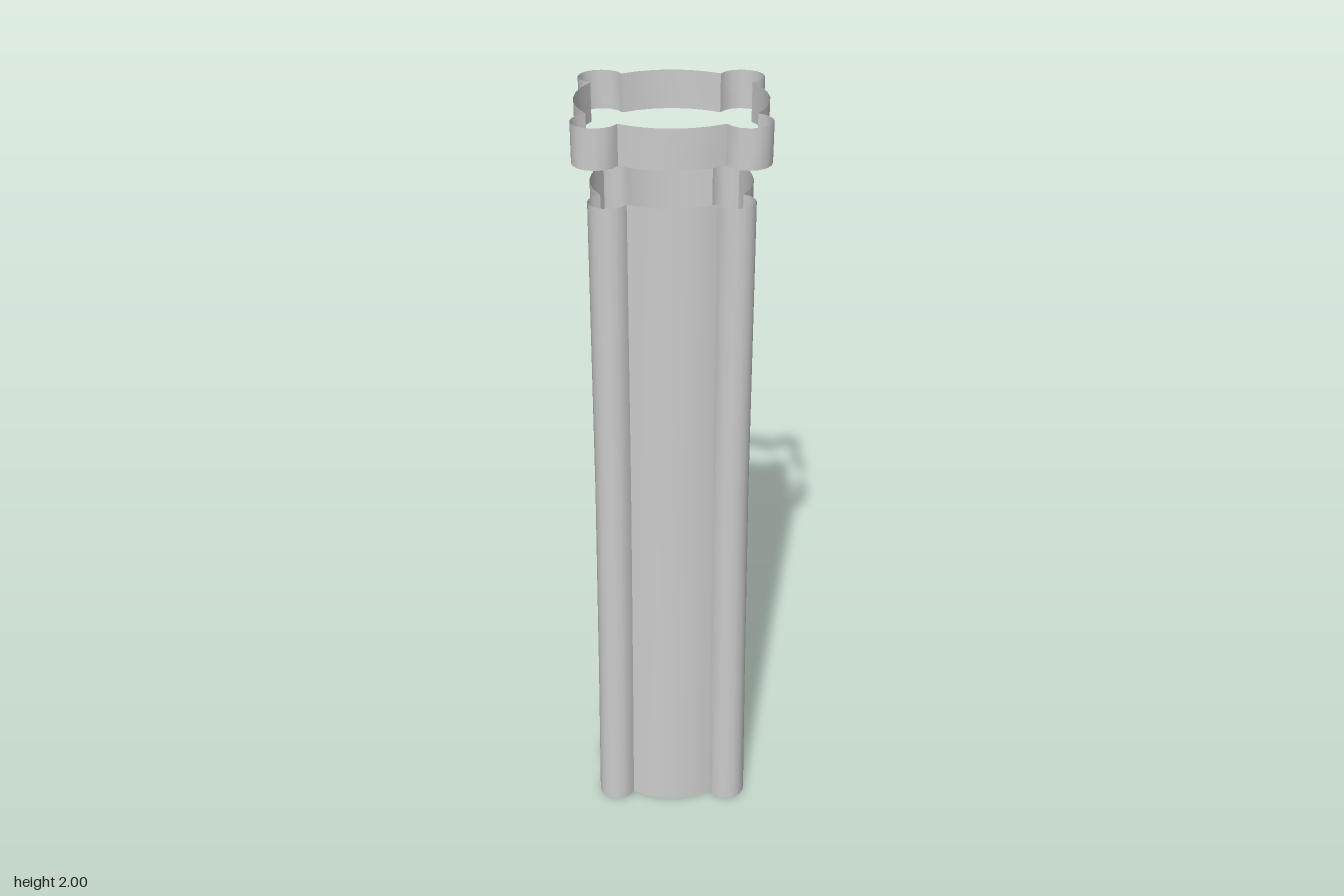
import * as THREE from 'three';

// Quatrefoil cross-section: a round wall with a lobe on each axis
const R = 0.226, C = 0.24, r = 0.055;
const cornerZ = (R * R + C * C - r * r) / (2 * C);
const cornerX = Math.sqrt(R * R - cornerZ * cornerZ);

const material = new THREE.MeshStandardMaterial({ color: 0xcccccc, side: THREE.DoubleSide });

// Points of an arc around (0, z), angles measured from +z towards +x
function arc(z, radius, from, to, segments) {
  return Array.from({ length: segments + 1 }, (_, i) => {
    const t = from + ((to - from) * i) / segments;
    return [radius * Math.sin(t), z + radius * Math.cos(t)];
  });
}

const lobeEnd = Math.atan2(cornerX, cornerZ - C);
const wallStart = Math.atan2(cornerX, cornerZ);
const lobeArc = arc(C, r, -lobeEnd, lobeEnd, 10);
const wallArc = arc(0, R, wallStart, Math.PI / 2 - wallStart, 6);

// Open sheet that sweeps an arc upward through [height, scale] levels
function sheet(points, levels) {
  const positions = [], index = [], n = points.length;
  for (const [y, s] of levels) for (const [x, z] of points) positions.push(x * s, y, z * s);
  for (let j = 0; j < levels.length - 1; j++) {
    for (let i = 0; i < n - 1; i++) {
      const a = j * n + i, b = a + 1, c = a + n, d = c + 1;
      index.push(a, b, d, a, d, c);
    }
  }
  const geometry = new THREE.BufferGeometry();
  geometry.setAttribute('position', new THREE.Float32BufferAttribute(positions, 3));
  geometry.setIndex(index);
  geometry.computeVertexNormals();
  return geometry;
}

// Four lobes and four curved walls around the axis
function quatrefoil(name, levels) {
  const group = new THREE.Group();
  group.name = name;
  const parts = { Lobe: sheet(lobeArc, levels), Wall: sheet(wallArc, levels) };
  for (let k = 0; k < 4; k++) {
    for (const [part, geometry] of Object.entries(parts)) {
      const mesh = new THREE.Mesh(geometry, material);
      mesh.name = name + part;
      mesh.rotation.y = (k * Math.PI) / 2;
      group.add(mesh);
    }
  }
  return group;
}

export function createModel() {
  const model = new THREE.Group();
  model.name = 'column';
  // Tapering hollow shaft, open at both ends
  model.add(quatrefoil('shaft', [[0, 0.932], [0.41, 0.905], [1.03, 0.873], [1.805, 0.86]]));
  // Separate wider band above the shaft
  model.add(quatrefoil('band', [[1.905, 1], [2, 1]]));
  return model;
}
